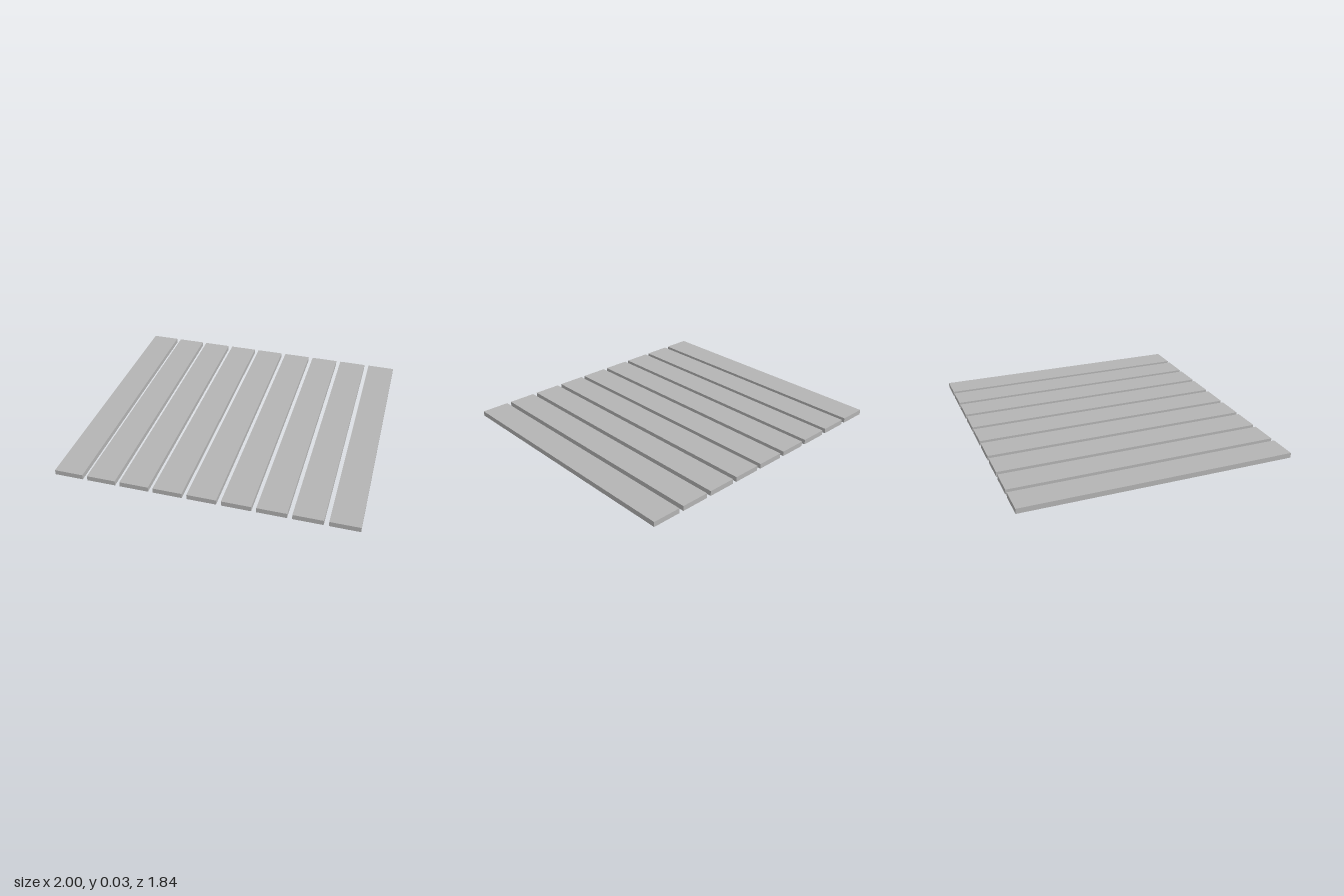
import * as THREE from 'three';

const COUNT = 9, WIDTH = 0.194, HEIGHT = 0.034, LENGTH = 1.84;

// Plank shell: a box without its underside, so it is hollow from below
function plankShell() {
  const box = new THREE.BoxGeometry(WIDTH, HEIGHT, LENGTH);
  const index = Array.from(box.index.array);
  index.splice(18, 6); // the downward face
  box.setIndex(index);
  box.clearGroups();
  box.translate(0, HEIGHT / 2, 0);
  return box;
}

export function createModel() {
  const model = new THREE.Group();
  model.name = 'plankDeck';
  const grey = new THREE.MeshStandardMaterial({ color: 0xb4b4b4, side: THREE.DoubleSide });
  grey.name = 'grey';

  // Nine equal planks, evenly spaced across the width
  const geometry = plankShell();
  const pitch = (2 - WIDTH) / (COUNT - 1);
  for (let i = 0; i < COUNT; i++) {
    const plank = new THREE.Mesh(geometry, grey);
    plank.name = `plank${i + 1}`;
    plank.position.x = -1 + WIDTH / 2 + i * pitch;
    model.add(plank);
  }
  return model;
}
